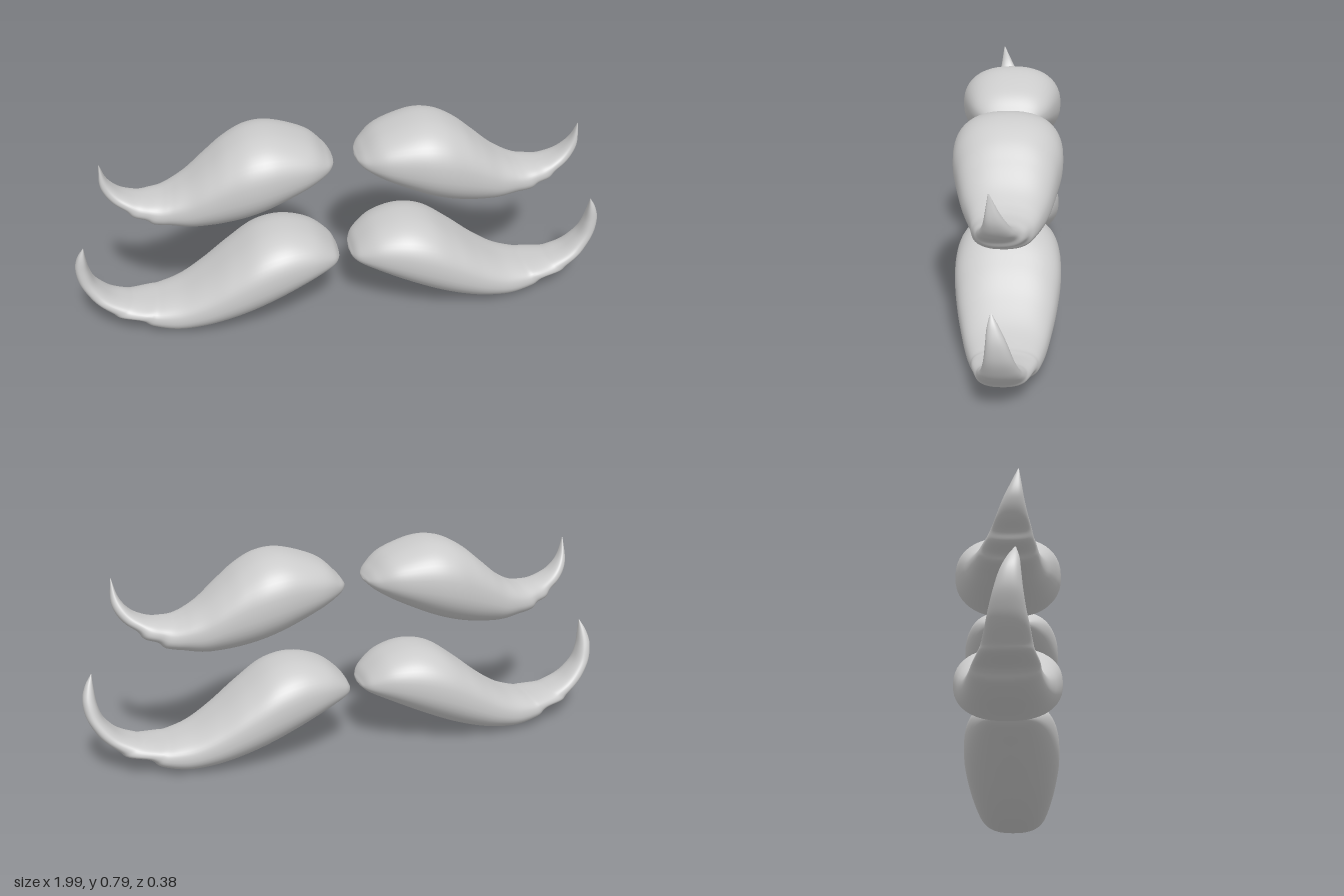
import * as THREE from 'three';

// Cross-sections from the blunt inner end to the curled tip:
// [upper x, upper y, lower x, lower y, half depth, z offset]
const LOWER_ROWS = [
  [0.02, 0.245, 0.02, 0.24, 0.01, 0],
  [0.025, 0.258, 0.028, 0.232, 0.06, 0],
  [0.05, 0.298, 0.055, 0.212, 0.105, 0],
  [0.12, 0.353, 0.13, 0.174, 0.15, 0],
  [0.22, 0.379, 0.25, 0.115, 0.18, 0],
  [0.32, 0.36, 0.37, 0.062, 0.187, 0],
  [0.42, 0.292, 0.48, 0.025, 0.174, 0],
  [0.52, 0.212, 0.57, 0.007, 0.155, 0],
  [0.61, 0.153, 0.66, 0.004, 0.135, 0],
  [0.69, 0.125, 0.745, 0.025, 0.115, 0],
  [0.72, 0.12, 0.775, 0.05, 0.108, 0.002],
  [0.745, 0.119, 0.8, 0.062, 0.102, 0.004],
  [0.79, 0.124, 0.865, 0.073, 0.086, 0.006],
  [0.815, 0.13, 0.89, 0.095, 0.078, 0.008],
  [0.86, 0.148, 0.935, 0.135, 0.068, 0.01],
  [0.895, 0.175, 0.965, 0.175, 0.058, 0.01],
  [0.93, 0.22, 0.99, 0.23, 0.046, 0.013],
  [0.947, 0.275, 0.996, 0.29, 0.034, 0.019],
  [0.953, 0.33, 0.982, 0.34, 0.02, 0.028],
  [0.956, 0.38, 0.958, 0.38, 0.002, 0.035],
];
const UPPER_ROWS = [
  [0.04, 0.652, 0.04, 0.648, 0.01, 0],
  [0.046, 0.664, 0.05, 0.637, 0.06, 0],
  [0.07, 0.694, 0.08, 0.612, 0.105, 0],
  [0.13, 0.745, 0.15, 0.57, 0.15, 0],
  [0.25, 0.786, 0.27, 0.513, 0.183, 0],
  [0.34, 0.783, 0.36, 0.48, 0.187, 0],
  [0.42, 0.745, 0.45, 0.459, 0.171, 0],
  [0.49, 0.688, 0.53, 0.451, 0.152, 0],
  [0.56, 0.628, 0.58, 0.452, 0.132, 0],
  [0.61, 0.596, 0.64, 0.463, 0.115, 0.002],
  [0.64, 0.582, 0.675, 0.468, 0.106, 0.005],
  [0.665, 0.575, 0.705, 0.476, 0.098, 0.008],
  [0.7, 0.573, 0.725, 0.495, 0.088, 0.012],
  [0.73, 0.575, 0.77, 0.51, 0.075, 0.016],
  [0.765, 0.585, 0.79, 0.537, 0.064, 0.02],
  [0.8, 0.605, 0.83, 0.567, 0.05, 0.023],
  [0.828, 0.635, 0.858, 0.605, 0.036, 0.027],
  [0.847, 0.67, 0.87, 0.65, 0.022, 0.034],
  [0.862, 0.725, 0.864, 0.725, 0.002, 0.044],
];

const material = new THREE.MeshStandardMaterial({ color: 0xcccccc });
const SIDES = 48;
const STEPS = 120;

// Slightly squared cosine and sine, for rounded-box sections
const soften = (v) => Math.sign(v) * Math.abs(v) ** (2 / 2.35);

// Loft one side through its sections; side = 1 or -1 mirrors in x
function createHalf(rows, side, name) {
  const curve = (pick) => new THREE.CatmullRomCurve3(rows.map((r) => new THREE.Vector3(...pick(r))), false, 'catmullrom', 0.5);
  const upper = curve((r) => [r[0], r[1], 0]);
  const lower = curve((r) => [r[2], r[3], 0]);
  const depth = curve((r) => [r[4], r[5], 0]);
  const positions = [];
  const index = [];
  for (let i = 0; i <= STEPS; i++) {
    const t = i / STEPS;
    const u = upper.getPoint(t);
    const l = lower.getPoint(t);
    const d = depth.getPoint(t);
    const mid = u.clone().add(l).multiplyScalar(0.5);
    const half = u.clone().sub(l).multiplyScalar(0.5);
    for (let j = 0; j < SIDES; j++) {
      const a = (j / SIDES) * Math.PI * 2;
      const c = soften(Math.cos(a));
      const s = soften(Math.sin(a));
      positions.push(side * (mid.x + half.x * c), mid.y + half.y * c, d.y + d.x * s);
    }
  }
  const triangle = (a, b, c) => (side > 0 ? index.push(a, b, c) : index.push(a, c, b));
  for (let i = 0; i < STEPS; i++) {
    for (let j = 0; j < SIDES; j++) {
      const k = (j + 1) % SIDES;
      const a = i * SIDES + j;
      const b = i * SIDES + k;
      triangle(a, b, a + SIDES);
      triangle(b, b + SIDES, a + SIDES);
    }
  }
  // Close both ends
  const last = STEPS * SIDES;
  for (let j = 1; j < SIDES - 1; j++) {
    triangle(0, j + 1, j);
    triangle(last, last + j, last + j + 1);
  }
  const geometry = new THREE.BufferGeometry();
  geometry.setAttribute('position', new THREE.Float32BufferAttribute(positions, 3));
  geometry.setIndex(index);
  geometry.computeVertexNormals();
  const mesh = new THREE.Mesh(geometry, material);
  mesh.name = name;
  return mesh;
}

// A mirrored pair of curled halves
function createMoustache(rows, name) {
  const group = new THREE.Group();
  group.name = name;
  group.add(createHalf(rows, 1, `${name}Left`), createHalf(rows, -1, `${name}Right`));
  return group;
}

export function createModel() {
  const model = new THREE.Group();
  model.name = 'moustaches';
  model.add(createMoustache(LOWER_ROWS, 'lowerMoustache'), createMoustache(UPPER_ROWS, 'upperMoustache'));
  return model;
}
